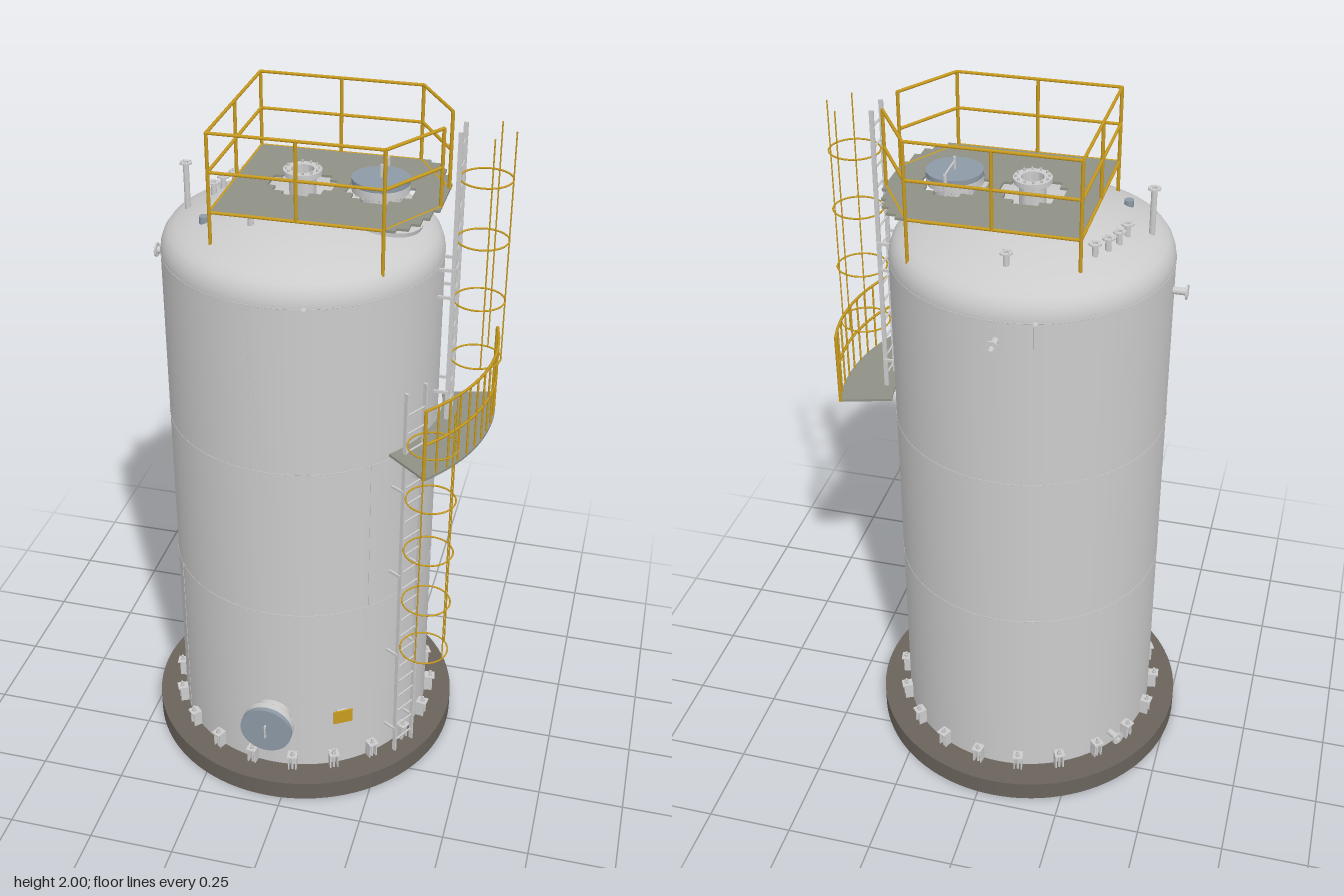
import * as THREE from 'three';
import { toCreasedNormals } from 'three/addons/utils/BufferGeometryUtils.js';

const mat = (color, side = THREE.FrontSide) => new THREE.MeshStandardMaterial({ color, side });
const V = (x, y, z) => new THREE.Vector3(x, y, z);
const R = 0.384, CX = -0.046; // shell radius and axis position
const domeY = (r) => 1.755 - 0.62 * r * r;

export function createModel() {
  const model = new THREE.Group();
  const tank = new THREE.Group();
  tank.name = 'tank';
  tank.position.x = CX;
  model.add(tank);

  const grey = mat(0xcccccc), yellow = mat(0xc89b1e), concrete = mat(0x6a635c);
  const cover = mat(0x8d99a6), deckMat = mat(0x8f9186, THREE.DoubleSide);

  const add = (parent, name, geo, m, x = 0, y = 0, z = 0) => {
    const mesh = new THREE.Mesh(geo, m);
    mesh.name = name;
    mesh.position.set(x, y, z);
    parent.add(mesh);
    return mesh;
  };
  const box = (p, name, m, w, h, d, x, y, z) => add(p, name, new THREE.BoxGeometry(w, h, d), m, x, y, z);
  const disc = (p, name, m, r, h, x, y, z, n = 32) => add(p, name, new THREE.CylinderGeometry(r, r, h, n), m, x, y, z);
  const rod = (p, name, m, a, b, r = 0.004) => {
    const dir = b.clone().sub(a);
    const mesh = add(p, name, new THREE.CylinderGeometry(r, r, dir.length(), 8), m);
    mesh.position.copy(a).add(b).multiplyScalar(0.5);
    mesh.quaternion.setFromUnitVectors(V(0, 1, 0), dir.normalize());
    return mesh;
  };
  // group whose local +x points outward at an angle from the tank's right-hand axis towards the front
  const polar = (name, deg) => {
    const g = new THREE.Group();
    g.name = name;
    g.rotation.y = -THREE.MathUtils.degToRad(deg);
    tank.add(g);
    return g;
  };
  const lathe = (pts, n = 32) =>
    toCreasedNormals(new THREE.LatheGeometry(pts.map(([x, y]) => new THREE.Vector2(x, y)), n), 0.6);

  // flanged pipe along local +y, with bolts and an open bore
  const nozzle = (parent, name, r, fr, len, bolts = 8) => {
    const g = new THREE.Group(), t = fr * 0.25, ri = r * 0.85;
    g.name = name;
    add(g, name + 'Pipe', lathe([[r, -0.03], [r, len - t], [fr, len - t], [fr, len], [ri, len], [ri, -0.03]], 28), grey);
    for (let i = 0; i < bolts; i++) {
      const a = (i + 0.5) / bolts * Math.PI * 2, br = (r + fr) / 2;
      disc(g, 'flangeBolt', grey, fr * 0.06, t * 2, Math.cos(a) * br, len - t / 2, Math.sin(a) * br, 6);
    }
    parent.add(g);
    return g;
  };

  // foundation, shell and domed roof
  add(tank, 'foundation', new THREE.CylinderGeometry(0.467, 0.467, 0.06, 96), concrete, 0, 0.03, 0);
  const roof = [[0.384, 1.61], [0.382, 1.63], [0.375, 1.65], [0.362, 1.668], [0.34, 1.682]];
  for (let r = 0.3; r > -0.01; r -= 0.05) roof.push([Math.max(r, 0), domeY(r)]);
  add(tank, 'shell', new THREE.LatheGeometry(
    [[R, 0.06], ...roof].map(([x, y]) => new THREE.Vector2(x, y)), 96), grey);
  for (const y of [0.635, 1.115, 1.61]) {
    const seam = add(tank, 'weldSeam', new THREE.TorusGeometry(R, 0.0012, 4, 96), grey, 0, y, 0);
    seam.rotation.x = Math.PI / 2;
  }
  for (const [a, y, h] of [[146, 0.35, 0.57], [47, 0.875, 0.48], [69, 0.875, 0.48], [97, 1.36, 0.49]])
    box(polar('verticalSeam', a), 'seamStrip', grey, 0.002, h, 0.002, R, y, 0);

  // anchor chairs around the foot
  for (let i = 0; i < 20; i++) {
    const g = polar('anchorChair', 9 + i * 18);
    box(g, 'chairPlate', grey, 0.032, 0.005, 0.03, R + 0.016, 0.112, 0);
    for (const s of [-1, 1]) box(g, 'chairGusset', grey, 0.026, 0.05, 0.004, R + 0.012, 0.086, s * 0.011);
    disc(g, 'anchorBolt', grey, 0.004, 0.07, R + 0.018, 0.095, 0, 8);
    disc(g, 'anchorNut', grey, 0.007, 0.007, R + 0.018, 0.118, 0, 6);
  }

  // front manway with curved reinforcing pad
  const pad = new THREE.RingGeometry(0.01, 0.115, 48, 6), pp = pad.attributes.position;
  for (let i = 0; i < pp.count; i++) pp.setZ(i, Math.sqrt((R + 0.003) ** 2 - pp.getX(i) ** 2));
  pad.computeVertexNormals();
  add(tank, 'manwayPad', pad, grey, 0, 0.255, 0);
  const manway = nozzle(tank, 'frontManway', 0.057, 0.077, 0.06, 16);
  manway.position.set(0, 0.255, R);
  manway.rotation.x = Math.PI / 2;
  disc(manway, 'manwayCover', cover, 0.077, 0.014, 0, 0.068, 0, 40);
  rod(manway, 'manwayHandle', grey, V(0, 0.084, -0.02), V(0, 0.084, 0.02), 0.003);
  for (const s of [-1, 1]) rod(manway, 'handleLeg', grey, V(0, 0.07, s * 0.02), V(0, 0.084, s * 0.02), 0.003);

  // nameplate and lifting lugs
  const plate = polar('nameplate', 59);
  box(plate, 'plateFace', yellow, 0.005, 0.045, 0.058, R + 0.016, 0.255, 0);
  box(plate, 'plateBracket', grey, 0.018, 0.03, 0.03, R + 0.005, 0.255, 0);
  for (const a of [75, 255]) box(polar('liftingLug', a), 'lugPlate', grey, 0.022, 0.075, 0.01, R + 0.006, 1.577, 0);

  // roof manhole
  const hole = nozzle(tank, 'roofManhole', 0.055, 0.077, 0.085, 16);
  hole.position.set(0.211, 1.725, 0);
  disc(hole, 'manholeCover', cover, 0.077, 0.014, 0, 0.093, 0, 40);
  rod(hole, 'davitPost', grey, V(0, 0.09, 0), V(0, 0.135, 0), 0.004);
  rod(hole, 'davitArm', grey, V(0, 0.122, 0), V(0, 0.122, -0.088), 0.003);
  rod(hole, 'davitLeg', grey, V(0, 0.02, -0.088), V(0, 0.122, -0.088), 0.005);
  const roofPad = [0.12, 0.0].map((r) => [r, 0]);
  const rp = add(tank, 'roofPad', lathe([[0.12, -0.012], ...roofPad], 40), grey, 0.211, domeY(0.211) + 0.006, 0);
  rp.rotation.z = -0.255;

  // roof nozzles
  nozzle(tank, 'centreNozzle', 0.036, 0.052, 0.075, 12).position.set(0, 1.752, 0);
  for (const [x, z, h] of [[-0.308, -0.042, 0.035], [-0.296, -0.09, 0.035], [-0.276, -0.132, 0.035],
    [-0.25, -0.17, 0.035], [-0.045, -0.27, 0.035], [-0.14, 0.17, 0.04], [-0.362, 0.022, 0.13]]) {
    const dx = x - CX;
    nozzle(tank, 'smallRoofNozzle', 0.008, 0.017, h, 4).position.set(dx, domeY(Math.hypot(dx, z)), z);
  }
  disc(tank, 'roofPlug', cover, 0.013, 0.02, -0.232, domeY(0.27) + 0.006, 0.137, 20);

  // side nozzles
  for (const [a, y] of [[180, 1.545], [270, 1.555], [216, 0.11]]) {
    const n = nozzle(polar('sideNozzle', a), 'sideNozzlePipe', 0.01, 0.02, 0.04, 4);
    n.position.set(R, y, 0);
    n.rotation.z = -Math.PI / 2;
  }

  // horizontal deck from an outline in x and z
  const deck = (name, shape, y) => {
    const geo = new THREE.ExtrudeGeometry(shape, { depth: 0.007, bevelEnabled: false, curveSegments: 32 });
    add(tank, name, geo, deckMat, 0, y, 0).rotation.x = Math.PI / 2;
  };
  // stepped cut-out around a nozzle
  const cutOut = (cx, a) => {
    const q = [[1, 0.4], [0.75, 0.4], [0.75, 0.75], [0.4, 0.75], [0.4, 1]], pts = [];
    for (let k = 0; k < 4; k++) for (const [u, v] of q)
      pts.push(new THREE.Vector2(u, v).multiplyScalar(a).rotateAround(new THREE.Vector2(), k * Math.PI / 2).add(new THREE.Vector2(cx, 0)));
    return new THREE.Path(pts);
  };

  // roof deck with stepped end
  const edge = [[-0.182, 0.24], [0.3, 0.24], [0.3, 0.222], [0.33, 0.222], [0.33, 0.187], [0.352, 0.187],
    [0.352, 0.145], [0.368, 0.145], [0.368, 0.09], [0.384, 0.09]];
  const roofShape = new THREE.Shape([...edge, ...edge.map(([x, z]) => [x, -z]).reverse()].map(([x, z]) => new THREE.Vector2(x, z)));
  roofShape.holes.push(cutOut(0, 0.087), cutOut(0.211, 0.088));
  deck('roofDeck', roofShape, 1.788);

  // roof railing, open at the ladder
  const rail = [[0.381, 0.062], [0.271, 0.24], [0.046, 0.24], [-0.182, 0.24], [-0.182, 0],
    [-0.182, -0.24], [0.046, -0.24], [0.271, -0.24], [0.381, -0.062]];
  rail.forEach(([x, z], i) => {
    const corner = Math.abs(z) === 0.24 && x !== 0.046;
    const foot = corner ? domeY(Math.hypot(x, z)) - 0.015 : 1.783;
    rod(tank, 'roofRailPost', yellow, V(x, foot, z), V(x, 1.997, z), 0.005);
    if (!i) return;
    const [px, pz] = rail[i - 1];
    for (const y of [1.785, 1.893, 1.996]) rod(tank, 'roofRail', yellow, V(px, y, pz), V(x, y, z), 0.0045);
  });

  // curved landing with its railing
  const a0 = THREE.MathUtils.degToRad(-15.4), a1 = THREE.MathUtils.degToRad(40);
  const arc = new THREE.Shape();
  arc.absarc(0, 0, 0.546, a0, a1, false);
  arc.absarc(0, 0, 0.396, a1, a0, true);
  deck('landingDeck', arc, 1.143);
  const at = (r, a, y) => V(r * Math.cos(a), y, r * Math.sin(a));
  const RR = 0.543, N = 12;
  for (let i = 0; i <= N; i++) {
    const a = a0 + (a1 - a0) * i / N;
    rod(tank, 'landingPost', yellow, at(RR, a, 1.138), at(RR, a, 1.352), i % N ? 0.003 : 0.005);
  }
  for (const y of [1.247, 1.35]) {
    const pts = Array.from({ length: 17 }, (_, i) => at(RR, a0 + (a1 - a0) * i / 16, y));
    add(tank, 'landingRail', new THREE.TubeGeometry(new THREE.CatmullRomCurve3(pts), 32, 0.004, 6), yellow);
  }

  // caged ladder standing off the shell
  const ladder = (name, deg, y0, y1, hoops, brackets) => {
    const g = polar(name, deg), lr = 0.42;
    for (const s of [-1, 1]) {
      box(g, 'ladderStringer', grey, 0.012, y1 - y0, 0.006, lr, (y0 + y1) / 2, s * 0.038);
      for (const y of brackets) box(g, 'ladderBracket', grey, 0.045, 0.008, 0.006, lr - 0.02, y, s * 0.042);
    }
    for (let y = y0 + 0.04; y < y1 - 0.02; y += 0.058)
      rod(g, 'ladderRung', grey, V(lr, y, -0.038), V(lr, y, 0.038), 0.003);
    for (const y of hoops)
      add(g, 'cageHoop', new THREE.TorusGeometry(0.069, 0.0025, 6, 40), yellow, 0.486, y, 0).rotation.x = Math.PI / 2;
    const low = hoops[0], high = Math.min(y1, hoops[hoops.length - 1] + 0.13);
    for (const a of [-70, 0, 70]) {
      const t = THREE.MathUtils.degToRad(a), x = 0.486 + 0.069 * Math.cos(t), z = 0.069 * Math.sin(t);
      rod(g, 'cageBar', yellow, V(x, low, z), V(x, high, z), 0.002);
    }
  };
  ladder('lowerLadder', 30, 0.06, 1.33, [0.482, 0.657, 0.832, 1.007, 1.18], [0.15, 0.44, 0.73, 1.02]);
  ladder('upperLadder', 0, 1.14, 1.98, [1.33, 1.505, 1.68, 1.85], [1.23, 1.52, 1.6]);

  return model;
}
